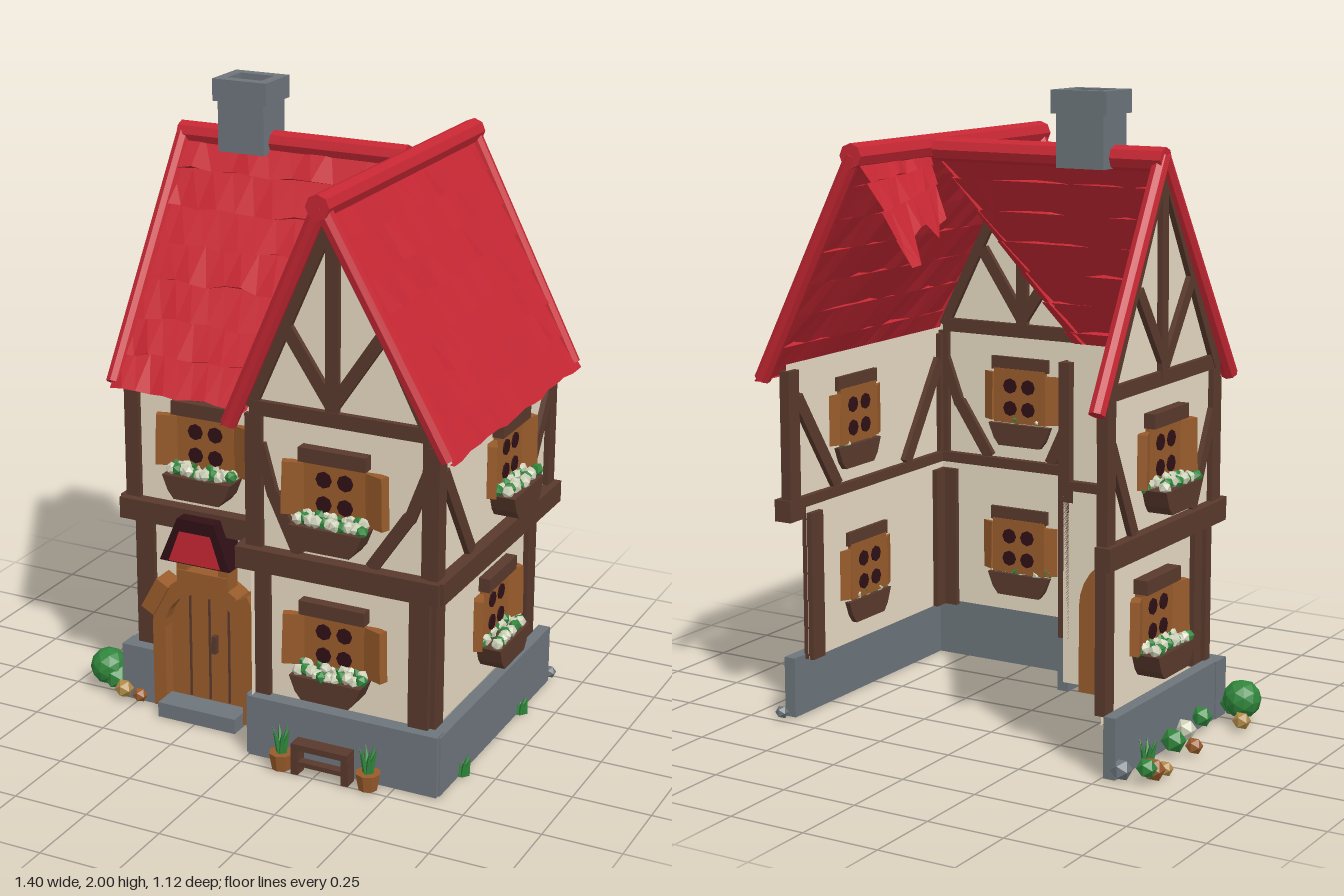
import * as THREE from 'three';

const mat = (name, color) => {
  const m = new THREE.MeshStandardMaterial({ color, side: THREE.DoubleSide, flatShading: true });
  m.name = name;
  return m;
};
const red = mat('roof red', 0xc62733), timber = mat('dark timber', 0x59392c), wood = mat('warm wood', 0x985b2b),
  cream = mat('plaster cream', 0xf1e3cb), stone = mat('stone grey', 0x6d757b), green = mat('leaf green', 0x2f853b),
  bloom = mat('pale blossom', 0xcdd0b8), pane = mat('dark pane', 0x2f1015), ochre = mat('ochre', 0xb08a48);

let seed = 7;
const rnd = () => (seed = (seed * 16807) % 2147483647) / 2147483647;
const V = (x, y, z) => new THREE.Vector3(x, y, z);

function add(parent, name, geo, material, x = 0, y = 0, z = 0) {
  const m = new THREE.Mesh(geo, material);
  m.name = name;
  m.position.set(x, y, z);
  parent.add(m);
  return m;
}
// box given by its extents in x and y, its middle z and its depth
const box = (p, name, m, x0, x1, y0, y1, z, d) =>
  add(p, name, new THREE.BoxGeometry(x1 - x0, y1 - y0, d), m, (x0 + x1) / 2, (y0 + y1) / 2, z);
// flat timber between two points of a facade
function beam(p, x0, y0, x1, y1, w = 0.04, z = 0, d = 0.035) {
  const m = add(p, 'timber', new THREE.BoxGeometry(w, Math.hypot(x1 - x0, y1 - y0), d), timber, (x0 + x1) / 2, (y0 + y1) / 2, z);
  m.rotation.z = -Math.atan2(x1 - x0, y1 - y0);
}
// round bar between two points
function rod(p, name, m, a, b, r) {
  const mesh = add(p, name, new THREE.CylinderGeometry(r, r, a.distanceTo(b), 8), m);
  mesh.position.copy(a).add(b).multiplyScalar(0.5);
  mesh.quaternion.setFromUnitVectors(V(0, 1, 0), b.clone().sub(a).normalize());
}
const poly = (pts) => new THREE.Shape(pts.map((q) => new THREE.Vector2(...q)));
const panel = (p, name, m, pts, z = 0) => add(p, name, new THREE.ShapeGeometry(poly(pts)), m, 0, 0, z);
const rect = (x0, x1, y0, y1) => [[x0, y0], [x1, y0], [x1, y1], [x0, y1]];

// overlapping wavy rows of tiles between ridge a-b and eave c-d
function slope(parent, name, a, b, c, d, rows, cols, ragged = 0) {
  const n = b.clone().sub(a).cross(c.clone().sub(a)).normalize();
  if (n.y < 0) n.negate();
  const at = (u, v, h) => a.clone().lerp(b, u).lerp(c.clone().lerp(d, u), v).addScaledVector(n, h);
  const pos = [];
  const quad = (p, q, r, s) => [p, q, r, p, r, s].forEach((k) => pos.push(k.x, k.y, k.z));
  for (let i = 0; i < rows; i++) {
    const lip = Array.from({ length: cols + 1 }, (_, j) =>
      at(j / cols, (i + 1) / rows + (i === rows - 1 ? ragged : 0.024) * rnd(), 0.004 + 0.015 * rnd()));
    for (let j = 0; j < cols; j++) {
      const u0 = j / cols, u1 = (j + 1) / cols, v1 = (i + 1) / rows;
      quad(at(u0, i / rows, 0), lip[j], lip[j + 1], at(u1, i / rows, 0));
      quad(lip[j], at(u0, v1, 0), at(u1, v1, 0), lip[j + 1]);
    }
  }
  const g = new THREE.BufferGeometry();
  g.setAttribute('position', new THREE.Float32BufferAttribute(pos, 3));
  g.computeVertexNormals();
  add(parent, name, g, red);
}

// shuttered window with flower box, centred at x with its sill at y
function windowUnit(parent, x, y, z = 0) {
  const w = new THREE.Group();
  w.name = 'window';
  w.position.set(x, y, z);
  parent.add(w);
  box(w, 'windowFrame', wood, -0.1, 0.1, -0.02, 0.165, 0, 0.03);
  for (const sx of [-1, 1]) {
    for (const py of [0.03, 0.107])
      add(w, 'pane', new THREE.CylinderGeometry(0.026, 0.026, 0.038, 8).rotateX(Math.PI / 2), pane, sx * 0.035, py, 0);
    const s = box(w, 'shutter', wood, -0.038, 0.038, -0.015, 0.15, 0.012, 0.03);
    s.position.x = sx * 0.135;
    s.rotation.y = -sx * 0.4;
    s.rotation.z = sx * 0.03;
  }
  box(w, 'windowHood', timber, -0.11, 0.11, 0.16, 0.205, 0.012, 0.05);
  const tub = poly([[-0.08, -0.1], [0.08, -0.1], [0.1, -0.075], [0.12, -0.025], [-0.12, -0.025], [-0.1, -0.075]]);
  add(w, 'flowerBox', new THREE.ExtrudeGeometry(tub, { depth: 0.1, bevelEnabled: false }), timber, 0, 0, -0.018);
  for (let i = 0; i < 22; i++) {
    const f = add(w, 'flowers', new THREE.IcosahedronGeometry(0.021, 0), i % 3 ? bloom : green,
      -0.108 + i * 0.0103, -0.02 + rnd() * 0.014, (i % 2) * 0.048 + rnd() * 0.02);
    f.rotation.set(rnd() * 3, rnd() * 3, 0);
  }
}

// facade drawn in its own plane, turned to face outward
function facade(root, name, x, z, turn) {
  const f = new THREE.Group();
  f.name = name;
  f.position.set(x, 0, z);
  f.rotation.y = turn;
  root.add(f);
  return f;
}

function leaves(p, x, z, y, h) {
  for (let i = 0; i < 6; i++) {
    const l = add(p, 'leaf', new THREE.ConeGeometry(0.016, h, 4), green, x + Math.cos(i) * 0.016, y + h / 2, z + Math.sin(i) * 0.016);
    l.rotation.set(Math.sin(i) * 0.3, 0, -Math.cos(i) * 0.3);
  }
}

export function createModel() {
  const root = new THREE.Group();
  root.name = 'cottage';

  // front of the gabled wing; lower floor is set back under the upper one
  const fr = facade(root, 'gableFront', 0, 0.44, 0);
  panel(fr, 'upperWall', cream, [[0, 0.66], [0.63, 0.66], [0.63, 1.13], [0.29, 1.79], [0, 1.13]]);
  panel(fr, 'lowerWall', cream, rect(0.01, 0.59, 0.19, 0.68), -0.04);
  beam(fr, 0.03, 0.69, 0.03, 1.13, 0.055);
  beam(fr, 0.61, 0.69, 0.61, 1.13, 0.055);
  beam(fr, 0.03, 0.18, 0.03, 0.66, 0.06, -0.04);
  beam(fr, 0.56, 0.18, 0.56, 0.66, 0.065, -0.04);
  box(fr, 'floorBeam', timber, -0.02, 0.65, 0.64, 0.71, 0.01, 0.07);
  box(fr, 'gableBeam', timber, 0.02, 0.6, 1.13, 1.175, 0, 0.04);
  beam(fr, 0.29, 1.15, 0.29, 1.75, 0.042);
  beam(fr, 0.29, 1.19, 0.135, 1.42);
  beam(fr, 0.29, 1.19, 0.445, 1.42);
  beam(fr, 0.02, 1.15, 0.29, 1.76, 0.035);
  beam(fr, 0.6, 1.15, 0.29, 1.76, 0.035);
  // bowed braces in two straight lengths
  for (const [top, mid, foot] of [[0.05, 0.095, 0.18], [0.6, 0.54, 0.42]]) {
    beam(fr, top, 1.04, mid, 0.88, 0.035);
    beam(fr, mid, 0.89, foot, 0.71, 0.04);
  }
  windowUnit(fr, 0.3, 0.855);
  windowUnit(fr, 0.28, 0.345, -0.04);

  // right-hand long wall
  const side = facade(root, 'longWall', 0.62, 0, Math.PI / 2);
  panel(side, 'upperWall', cream, rect(-0.44, 0.45, 0.66, 1.14));
  panel(side, 'lowerWall', cream, rect(-0.4, 0.4, 0.18, 0.68), -0.03);
  for (const s of [-1, 1]) {
    beam(side, s * 0.435, 0.69, s * 0.435, 1.12, 0.055);
    beam(side, s * 0.365, 0.18, s * 0.365, 0.66, 0.065, -0.03);
    beam(side, s * 0.41, 1.03, s * 0.2, 0.71, 0.045);
  }
  box(side, 'floorBeam', timber, -0.47, 0.47, 0.64, 0.71, 0.01, 0.06);
  windowUnit(side, 0.08, 0.855);
  windowUnit(side, 0.075, 0.345, -0.03);

  // return wall between the two fronts
  const back = facade(root, 'returnWall', 0.01, 0, -Math.PI / 2);
  panel(back, 'wall', cream, rect(0.22, 0.44, 0.15, 1.1));
  box(back, 'floorBeam', timber, 0.22, 0.46, 0.64, 0.71, 0.01, 0.05);
  box(back, 'cornerPost', timber, 0.22, 0.27, 0.18, 1.1, 0, 0.04);

  // front of the cross wing
  const fl = facade(root, 'entranceFront', 0, 0.25, 0);
  panel(fl, 'upperWall', cream, rect(-0.51, 0.01, 0.66, 1.16));
  panel(fl, 'lowerWall', cream, rect(-0.49, 0.01, 0.03, 0.68), -0.03);
  beam(fl, -0.505, 0.69, -0.505, 1.1, 0.05);
  beam(fl, -0.485, 0.18, -0.485, 0.66, 0.065, -0.03);
  box(fl, 'floorBeam', timber, -0.54, 0, 0.64, 0.71, 0.01, 0.07);
  windowUnit(fl, -0.24, 0.855);

  // left end gable
  const end = facade(root, 'endGable', -0.515, -0.11, -Math.PI / 2);
  panel(end, 'upperWall', cream, [[-0.36, 0.66], [0.36, 0.66], [0.36, 1.12], [-0.02, 1.79], [-0.36, 1.12]]);
  panel(end, 'lowerWall', cream, rect(-0.31, 0.33, 0.15, 0.68), -0.03);
  for (const s of [-1, 1]) {
    beam(end, s * 0.34, 0.69, s * 0.34, 1.13, 0.05);
    beam(end, s * 0.29, 0.18, s * 0.29, 0.66, 0.055, -0.03);
    beam(end, s * 0.33, 1.0, s * 0.19, 0.71);
    beam(end, 0, 1.19, s * 0.17, 1.43);
    beam(end, s * 0.35, 1.13, -0.02, 1.77, 0.035);
  }
  beam(end, -0.01, 1.15, -0.02, 1.76);
  box(end, 'gableBeam', timber, -0.34, 0.34, 1.13, 1.175, 0, 0.03);
  box(end, 'floorBeam', timber, -0.38, 0.38, 0.64, 0.71, 0.01, 0.05);
  windowUnit(end, 0, 0.855);
  windowUnit(end, 0, 0.345, -0.02);

  // stone footing
  box(root, 'footing', stone, 0.0, 0.64, 0, 0.2, 0.425, 0.05);
  box(root, 'footing', stone, 0.605, 0.645, 0, 0.195, -0.01, 0.89);
  box(root, 'footing', stone, -0.01, 0.03, 0, 0.2, 0.33, 0.22);
  box(root, 'footing', stone, -0.55, -0.51, 0, 0.19, -0.1, 0.7);
  box(root, 'cornerStone', stone, -0.555, -0.435, 0, 0.19, 0.245, 0.07);
  box(root, 'doorStep', stone, -0.38, -0.1, 0, 0.05, 0.31, 0.09);

  // arched door and its surround
  const arch = (w, h, y0) => {
    const s = new THREE.Shape();
    s.moveTo(-w, y0); s.lineTo(w, y0); s.lineTo(w, h);
    s.absarc(0, h, w, 0, Math.PI, false);
    return s;
  };
  const surround = arch(0.185, 0.3, 0.01);
  surround.holes.push(arch(0.14, 0.29, 0.03));
  add(root, 'doorSurround', new THREE.ExtrudeGeometry(surround, { depth: 0.09, bevelEnabled: false, curveSegments: 7 }), wood, -0.24, 0, 0.21);
  add(root, 'door', new THREE.ExtrudeGeometry(arch(0.145, 0.29, 0.02), { depth: 0.05, bevelEnabled: false, curveSegments: 7 }), wood, -0.24, 0, 0.205);
  for (const x of [-0.31, -0.24, -0.17]) box(root, 'doorPlankGap', timber, x - 0.003, x + 0.003, 0.05, 0.4, 0.258, 0.006);
  box(root, 'doorHandle', timber, -0.225, -0.21, 0.22, 0.28, 0.265, 0.02);
  for (const s of [-1, 1]) {
    const b = box(root, 'archShoulder', wood, -0.025, 0.025, -0.06, 0.06, 0.27, 0.08);
    b.position.x = -0.24 + s * 0.17;
    b.position.y = 0.395;
    b.rotation.z = s * 0.5;
    box(root, 'canopyPost', wood, -0.24 + s * 0.075 - 0.018, -0.24 + s * 0.075 + 0.018, 0.46, 0.57, 0.27, 0.06);
  }
  box(root, 'doorLintel', wood, -0.33, -0.15, 0.47, 0.505, 0.27, 0.07);

  // little canopy over the door
  const hood = poly([[-0.13, 0.545], [0.12, 0.545], [0.065, 0.695], [-0.065, 0.695]]);
  add(root, 'canopyFrame', new THREE.ExtrudeGeometry(hood, { depth: 0.1, bevelEnabled: false }), pane, -0.24, 0, 0.24);
  panel(root, 'canopyTiles', red, [[-0.095, 0.55], [0.09, 0.55], [0.055, 0.655], [-0.055, 0.655]], 0.345).position.x = -0.24;

  // tiled roof slopes, open at the rear
  slope(root, 'longRoofSlope', V(0.29, 1.81, 0.53), V(0.29, 1.81, -0.54), V(0.68, 1.09, 0.49), V(0.68, 1.09, -0.51), 7, 15, 0.015);
  slope(root, 'gableRoofSlope', V(0.29, 1.81, 0.53), V(0.29, 1.81, -0.14), V(-0.055, 1.09, 0.49), V(-0.055, 1.09, 0.31), 7, 8, 0.015);
  slope(root, 'brokenRoofSlope', V(0.29, 1.81, -0.14), V(0.29, 1.81, -0.55), V(0.21, 1.64, -0.2), V(0.17, 1.56, -0.5), 3, 7, 0.45);
  slope(root, 'crossRoofSlope', V(-0.53, 1.81, -0.14), V(0.29, 1.81, -0.14), V(-0.54, 1.09, 0.325), V(-0.01, 1.09, 0.325), 7, 11, 0.015);

  // ridges and gable edges
  rod(root, 'ridge', red, V(0.29, 1.808, 0.55), V(0.29, 1.808, -0.56), 0.038);
  rod(root, 'ridge', red, V(-0.54, 1.803, -0.145), V(0.25, 1.803, -0.145), 0.037);
  for (const [a, b] of [
    [V(0.29, 1.81, 0.525), V(0.675, 1.1, 0.485)], [V(0.29, 1.81, 0.525), V(-0.035, 1.1, 0.485)],
    [V(0.29, 1.81, -0.54), V(0.67, 1.1, -0.505)],
    [V(-0.525, 1.81, -0.14), V(-0.535, 1.1, 0.315)], [V(-0.525, 1.81, -0.14), V(-0.535, 1.11, -0.545)],
  ]) rod(root, 'roofEdge', red, a, b, 0.026);

  // hollow chimney
  const tube = (w, h) => {
    const s = poly(rect(-w, w, -w, w));
    s.holes.push(poly(rect(-0.06, 0.06, -0.05, 0.05)));
    return new THREE.ExtrudeGeometry(s, { depth: h, bevelEnabled: false }).rotateX(-Math.PI / 2);
  };
  add(root, 'chimneyShaft', tube(0.08, 0.18), stone, -0.29, 1.77, -0.145).scale.z = 0.88;
  add(root, 'chimneyCap', tube(0.094, 0.07), stone, -0.29, 1.93, -0.145).scale.z = 0.84;

  // bench and potted plants at the front
  box(root, 'benchSeat', timber, 0.18, 0.37, 0.085, 0.105, 0.485, 0.05);
  box(root, 'benchRail', timber, 0.18, 0.37, 0.03, 0.045, 0.49, 0.03);
  for (const x of [0.19, 0.36]) box(root, 'benchLeg', timber, x - 0.012, x + 0.012, 0, 0.09, 0.485, 0.045);
  for (const x of [0.135, 0.43]) {
    add(root, 'pot', new THREE.CylinderGeometry(0.04, 0.03, 0.055, 8), wood, x, 0.0275, 0.485);
    leaves(root, x, 0.485, 0.05, 0.09);
  }

  // garden along the left end
  for (const [m, x, y, z, r] of [
    [green, -0.635, 0.075, 0.235, 0.062], [green, -0.6, 0.05, 0.25, 0.045],
    [ochre, -0.67, 0.03, 0.16, 0.03], [ochre, -0.54, 0.04, 0.3, 0.032], [wood, -0.64, 0.03, -0.38, 0.038],
    [wood, -0.65, 0.03, -0.13, 0.028], [ochre, -0.655, 0.02, -0.33, 0.025], [green, -0.645, 0.05, -0.43, 0.032],
    [green, -0.6, 0.05, -0.17, 0.04], [bloom, -0.57, 0.04, -0.03, 0.035], [green, -0.57, 0.05, 0.08, 0.035],
    [stone, -0.56, 0.03, -0.43, 0.035], [stone, 0.64, 0.02, -0.48, 0.022], [wood, -0.48, 0.03, 0.3, 0.025],
  ]) add(root, 'gardenClump', new THREE.IcosahedronGeometry(r, r > 0.06 ? 1 : 0), m, x, y, z);
  leaves(root, -0.58, -0.3, 0, 0.09);
  leaves(root, 0.65, 0.27, 0, 0.06);
  leaves(root, 0.65, -0.2, 0, 0.05);
  return root;
}
